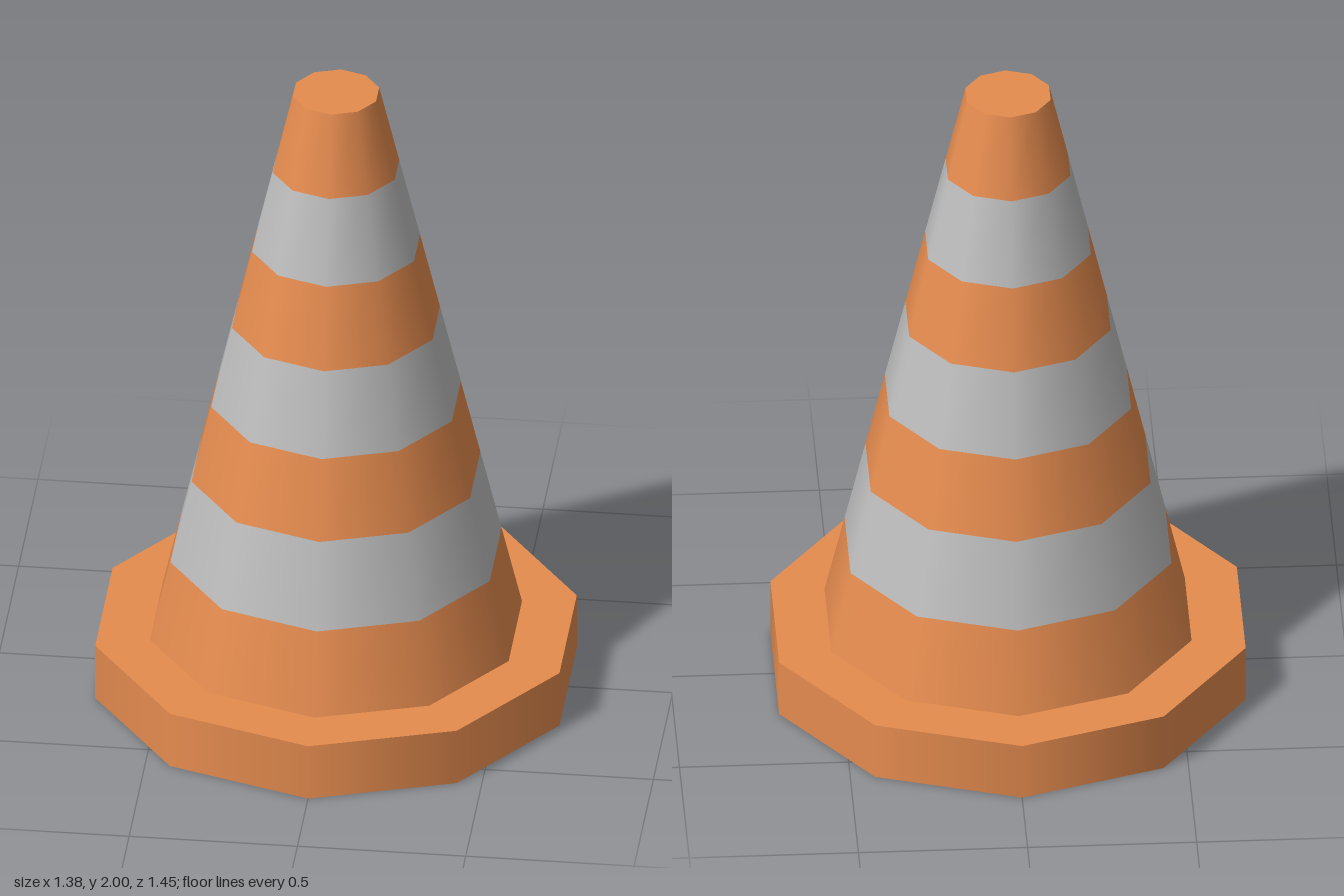
import * as THREE from 'three';

const SIDES = 10;

export function createModel() {
  const group = new THREE.Group();
  group.name = 'trafficCone';

  const orange = new THREE.MeshStandardMaterial({ color: 0xe68c4f });
  orange.name = 'orange';
  const grey = new THREE.MeshStandardMaterial({ color: 0xbebebe });
  grey.name = 'reflectiveGrey';

  const add = (name, geometry, material, y) => {
    const mesh = new THREE.Mesh(geometry, material);
    mesh.name = name;
    mesh.position.y = y;
    group.add(mesh);
  };

  // Ten-sided foot slab, with corners on the z axis
  const baseTop = 0.18, height = 2;
  add('base', new THREE.CylinderGeometry(0.725, 0.725, baseTop, SIDES), orange, baseTop / 2);

  // Tapering body, split into alternating orange and grey bands
  const levels = [baseTop, 0.44, 0.71, 0.96, 1.225, 1.48, 1.745, height];
  const radiusAt = (y) => THREE.MathUtils.mapLinear(y, baseTop, height, 0.56, 0.13);
  for (let i = 0; i < levels.length - 1; i++) {
    const low = levels[i], high = levels[i + 1];
    const band = new THREE.CylinderGeometry(radiusAt(high), radiusAt(low), high - low, SIDES, 1, true);
    const striped = i % 2 === 1;
    add((striped ? 'greyBand' : 'orangeBand') + (i + 1), band, striped ? grey : orange, (low + high) / 2);
  }

  // Flat closed tip
  const tip = new THREE.CircleGeometry(radiusAt(height), SIDES, Math.PI / 2).rotateX(-Math.PI / 2);
  add('tip', tip, orange, height);

  return group;
}
